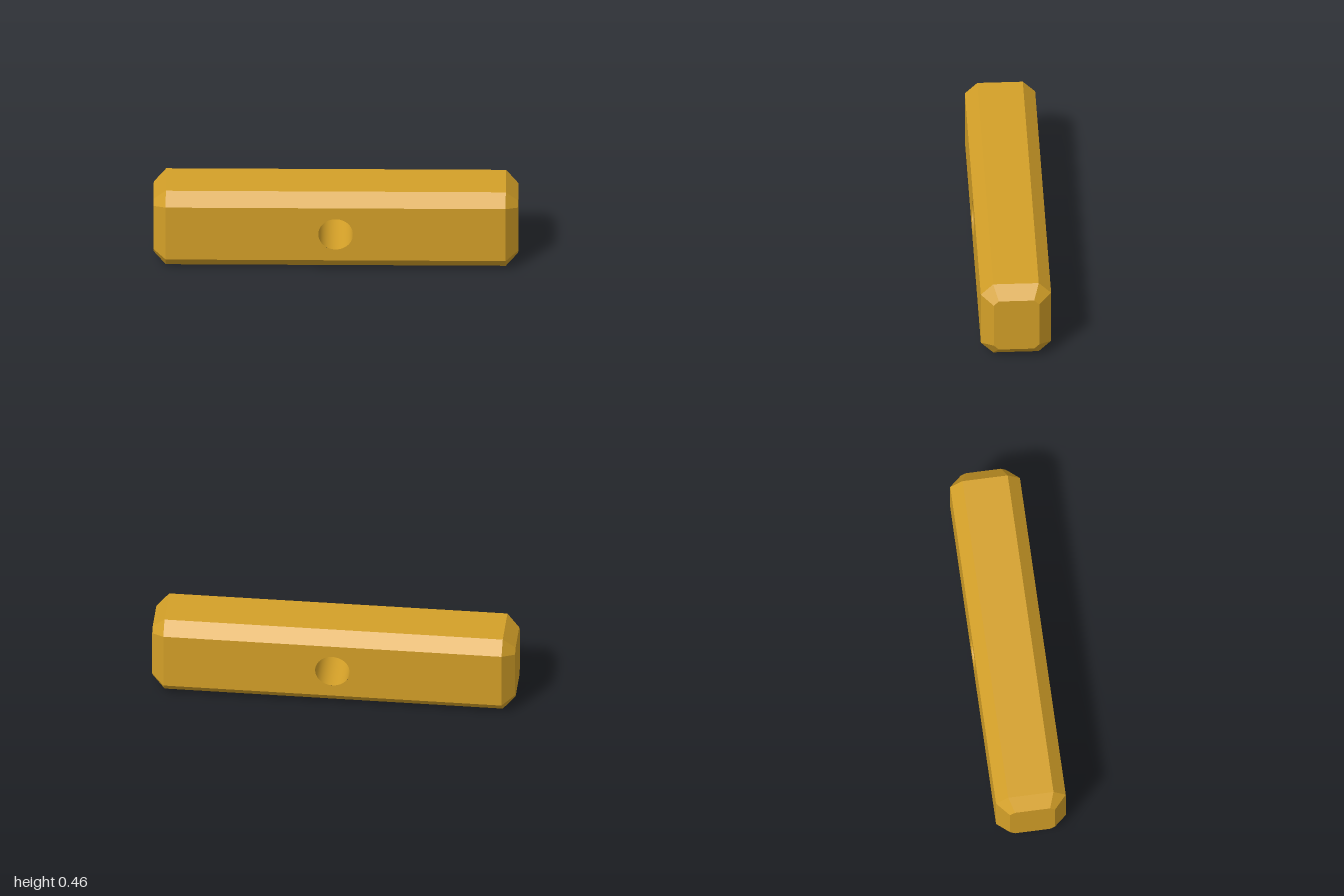
import * as THREE from 'three';

const MID = 0.2315;            // height of the bar's axis
const HALF_Y = 0.2315, HALF_Z = 0.193, CHAMFER = 0.068;
const BODY_X = 0.932, HOLE_R = 0.095, SEGMENTS = 64;

// Chamfered rectangle across the bar, anticlockwise seen from +x
function ring(x, hy, hz, c) {
  return [
    [-hz, c - hy], [-hz, hy - c], [c - hz, hy], [hz - c, hy],
    [hz, hy - c], [hz, c - hy], [hz - c, -hy], [c - hz, -hy],
  ].map(([z, y]) => new THREE.Vector3(x, MID + y, z));
}

function skin(rings, skipSides) {
  const pos = [];
  const tri = (...pts) => pts.forEach((p) => pos.push(p.x, p.y, p.z));
  for (let r = 0; r < rings.length - 1; r++) {
    for (let i = 0; i < 8; i++) {
      if (skipSides(r, i)) continue;
      const j = (i + 1) % 8;
      const a = rings[r][i], b = rings[r][j], c = rings[r + 1][j], d = rings[r + 1][i];
      tri(a, b, c);
      tri(a, c, d);
    }
  }
  // flat ends
  const first = rings[0], last = rings[rings.length - 1];
  for (let i = 1; i < 7; i++) {
    tri(last[0], last[i], last[i + 1]);
    tri(first[0], first[i + 1], first[i]);
  }
  const geo = new THREE.BufferGeometry();
  geo.setAttribute('position', new THREE.Float32BufferAttribute(pos, 3));
  geo.computeVertexNormals();
  return geo;
}

export function createModel() {
  const group = new THREE.Group();
  group.name = 'drilledBar';
  const material = new THREE.MeshStandardMaterial({ color: 0xd4a028 });
  const add = (name, geo, mat = material) => {
    const mesh = new THREE.Mesh(geo, mat);
    mesh.name = name;
    group.add(mesh);
    return mesh;
  };

  // Chamfered bar, left open where the drilled faces go
  const end = (x) => ring(x, HALF_Y - CHAMFER, HALF_Z - CHAMFER, 0.028);
  const body = (x) => ring(x, HALF_Y, HALF_Z, CHAMFER);
  add('chamferedBody', skin(
    [end(-1), body(-BODY_X), body(BODY_X), end(1)],
    (r, i) => r === 1 && i % 4 === 0,
  ));

  // Front and back faces with the round opening
  const h = HALF_Y - CHAMFER;
  const face = new THREE.Shape([
    new THREE.Vector2(-BODY_X, -h), new THREE.Vector2(BODY_X, -h),
    new THREE.Vector2(BODY_X, h), new THREE.Vector2(-BODY_X, h),
  ]);
  face.holes.push(new THREE.Path().absarc(0, 0, HOLE_R, 0, Math.PI * 2, true));
  const faceGeo = new THREE.ShapeGeometry(face, SEGMENTS);
  for (const side of [1, -1]) {
    const mesh = add(side > 0 ? 'frontFace' : 'backFace', faceGeo);
    mesh.position.set(0, MID, side * HALF_Z);
    if (side < 0) mesh.rotation.y = Math.PI;
  }

  // Wall of the through hole, seen from inside
  const boreMat = material.clone();
  boreMat.side = THREE.BackSide;
  const bore = add('throughHole', new THREE.CylinderGeometry(
    HOLE_R, HOLE_R, HALF_Z * 2, SEGMENTS, 1, true), boreMat);
  bore.rotation.x = Math.PI / 2;
  bore.position.y = MID;

  return group;
}
